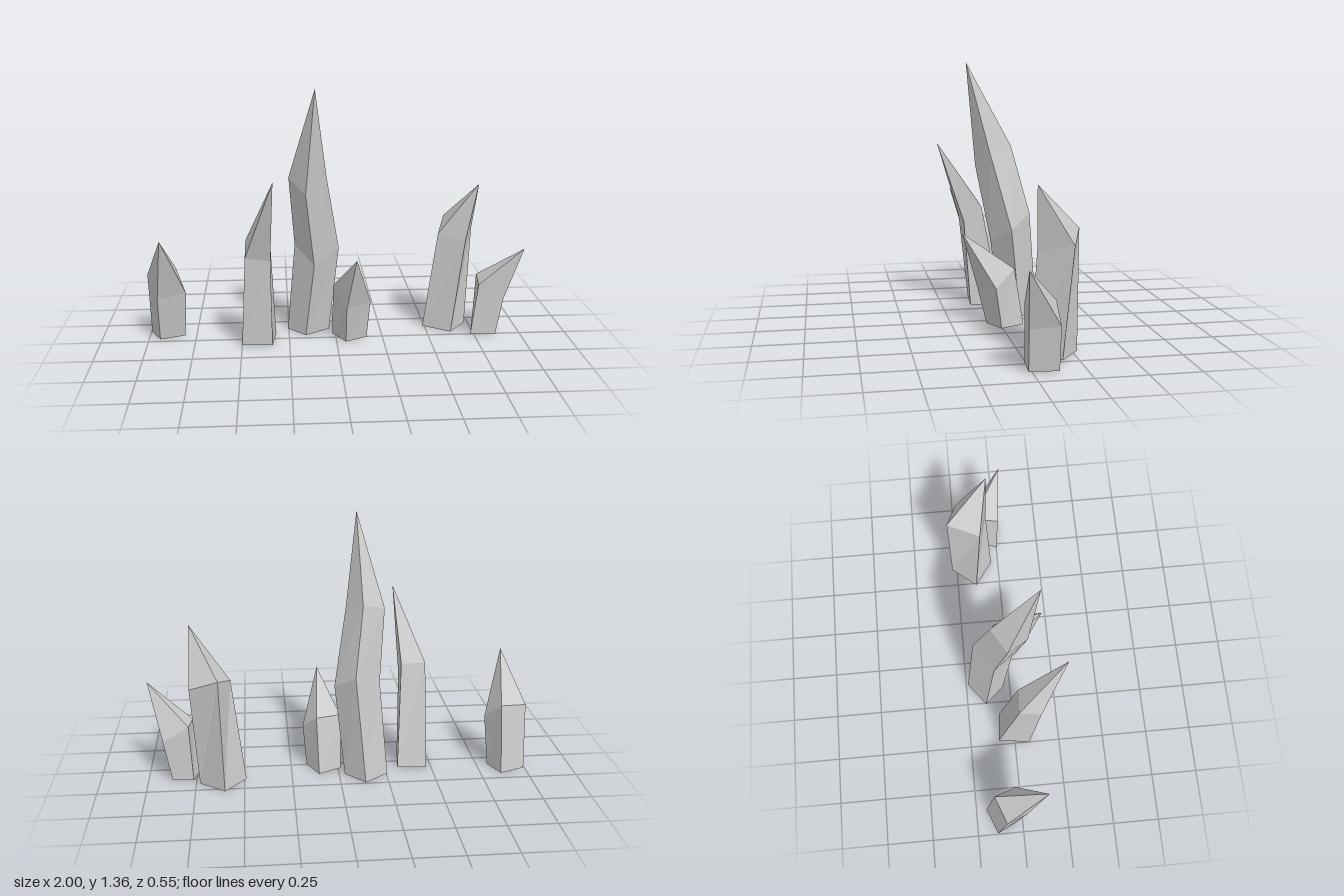
import * as THREE from 'three';

const material = new THREE.MeshStandardMaterial({ color: 0xcccccc, flatShading: true, side: THREE.DoubleSide });

// Four-sided shard, open underneath: rings of corners (left, front, right, back) from the ground up, then a tip
function crystal(name, rings, tip) {
  const pos = [];
  const tri = (...corners) => corners.forEach((c) => pos.push(...c));
  for (let i = 0; i < 4; i++) {
    const j = (i + 1) % 4;
    for (let r = 0; r < rings.length - 1; r++) {
      const a = rings[r], b = rings[r + 1];
      tri(a[i], a[j], b[j]);
      tri(a[i], b[j], b[i]);
    }
    const top = rings[rings.length - 1];
    tri(top[i], top[j], tip);
  }
  const geometry = new THREE.BufferGeometry();
  geometry.setAttribute('position', new THREE.Float32BufferAttribute(pos, 3));
  geometry.computeVertexNormals();
  const mesh = new THREE.Mesh(geometry, material);
  mesh.name = name;
  return mesh;
}

export function createModel() {
  const group = new THREE.Group();
  group.name = 'crystalCluster';
  group.add(
    // Small shard at the far right
    crystal('smallOuterCrystal', [
      [[-0.995, 0, -0.14], [-0.94, 0, -0.03], [-0.81, 0, -0.08], [-0.86, 0, -0.195]],
      [[-1.0, 0.345, -0.09], [-0.94, 0.245, 0.025], [-0.795, 0.26, -0.03], [-0.855, 0.365, -0.145]],
    ], [-0.905, 0.59, 0.13]),

    // Medium shard leaning forward
    crystal('mediumForwardCrystal', [
      [[-0.475, 0, -0.09], [-0.5, 0, 0.08], [-0.34, 0, 0.09], [-0.32, 0, -0.075]],
      [[-0.472, 0.56, 0.02], [-0.475, 0.495, 0.137], [-0.345, 0.475, 0.125], [-0.345, 0.555, 0.025]],
    ], [-0.327, 0.92, 0.275]),

    // Tall central shard with a bend halfway up
    crystal('tallCrystal', [
      [[-0.255, 0, -0.145], [-0.16, 0, -0.04], [-0.03, 0, -0.13], [-0.13, 0, -0.24]],
      [[-0.215, 0.5, -0.09], [-0.115, 0.41, 0.015], [0.02, 0.48, -0.075], [-0.08, 0.56, -0.19]],
      [[-0.245, 0.88, -0.02], [-0.16, 0.81, 0.09], [-0.05, 0.89, 0.03], [-0.125, 0.915, -0.097]],
    ], [-0.113, 1.357, 0.145]),

    // Small shard beside the tall one
    crystal('smallInnerCrystal', [
      [[-0.015, 0, -0.055], [0.05, 0, 0.065], [0.165, 0, 0.005], [0.105, 0, -0.12]],
      [[-0.015, 0.29, -0.01], [0.05, 0.2, 0.115], [0.182, 0.215, 0.038], [0.115, 0.3, -0.07]],
    ], [0.095, 0.49, 0.198]),

    // Medium shard at the back
    crystal('mediumBackCrystal', [
      [[0.49, 0, -0.14], [0.63, 0, -0.04], [0.73, 0, -0.175], [0.6, 0, -0.277]],
      [[0.557, 0.54, -0.1], [0.7, 0.51, -0.058], [0.762, 0.54, -0.22], [0.615, 0.597, -0.277]],
    ], [0.76, 0.825, -0.045]),

    // Small shard leaning outward
    crystal('leaningCrystal', [
      [[0.765, 0, -0.135], [0.73, 0, 0.005], [0.865, 0, 0.015], [0.875, 0, -0.125]],
      [[0.78, 0.3, -0.13], [0.765, 0.285, 0.015], [0.9, 0.205, 0.022], [0.915, 0.215, -0.122]],
    ], [0.997, 0.49, 0.042]),
  );
  return group;
}
